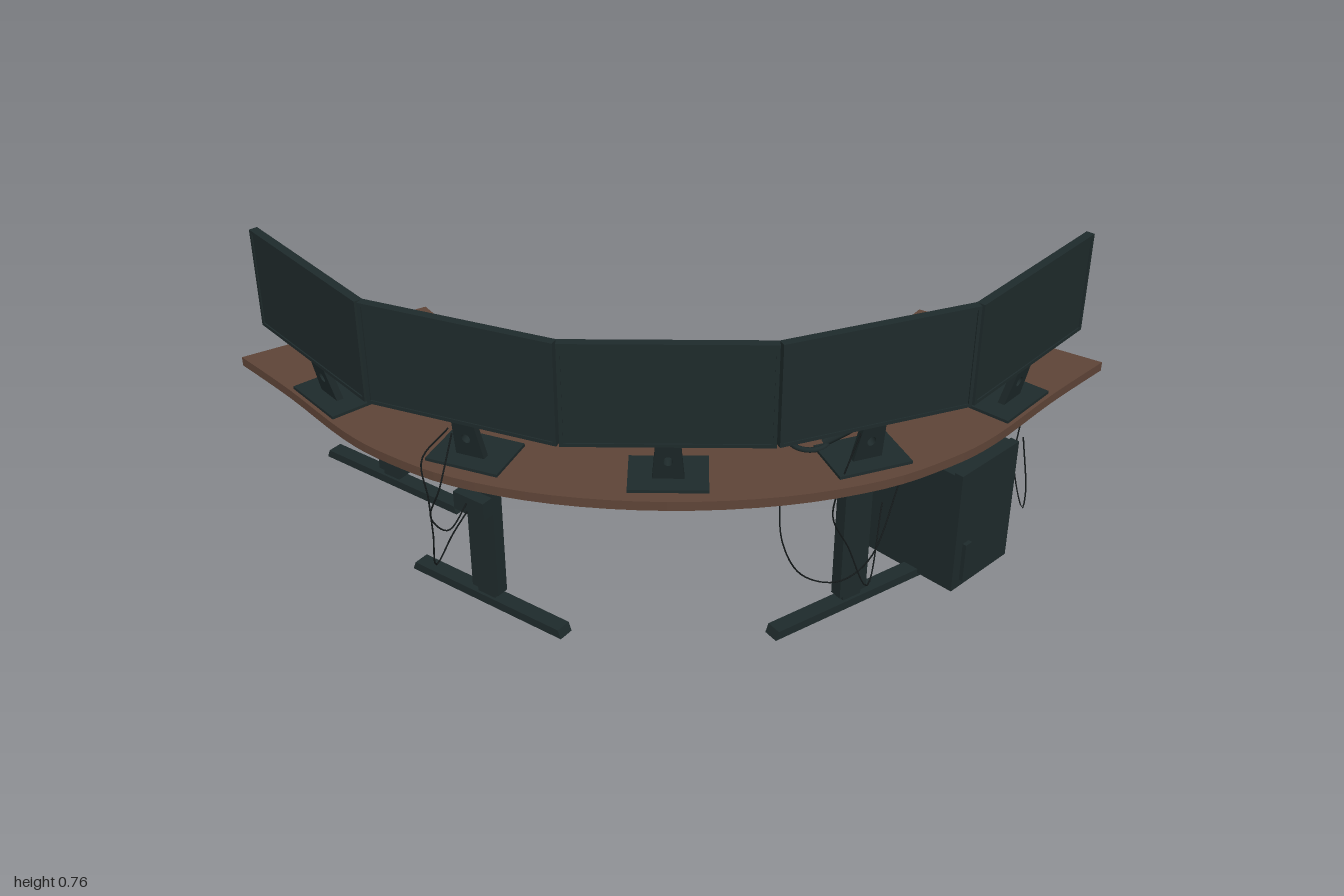
import * as THREE from 'three';

const mat = (name, color) => {
  const m = new THREE.MeshStandardMaterial({ color });
  m.name = name;
  return m;
};

export function createModel() {
  const root = new THREE.Group();
  root.name = 'curvedWorkstation';
  const wood = mat('walnut brown', 0x5e4437);
  const dark = mat('charcoal', 0x1e2a2b);
  const black = mat('cable black', 0x14191a);

  const add = (parent, name, geo, material, x = 0, y = 0, z = 0, ry = 0) => {
    const m = new THREE.Mesh(geo, material);
    m.name = name;
    m.position.set(x, y, z);
    m.rotation.y = ry;
    parent.add(m);
    return m;
  };
  const box = (parent, name, w, h, d, x, y, z, ry = 0, material = dark) =>
    add(parent, name, new THREE.BoxGeometry(w, h, d), material, x, y, z, ry);
  const group = (name, x = 0, y = 0, z = 0, ry = 0) => {
    const g = new THREE.Group();
    g.name = name;
    g.position.set(x, y, z);
    g.rotation.y = ry;
    root.add(g);
    return g;
  };

  // Curved desk top: half outlines mirrored, drawn in the x/z plane
  const mirrored = (half) => {
    const pts = half.map(([x, z]) => new THREE.Vector2(x, z));
    const other = half.filter(([x]) => x !== 0).map(([x, z]) => new THREE.Vector2(-x, z)).reverse();
    return new THREE.SplineCurve([...pts, ...other]).getPoints(48);
  };
  const outer = mirrored([[-1, -0.165], [-0.86, -0.02], [-0.71, 0.15], [-0.6, 0.242], [-0.45, 0.328], [-0.24, 0.39], [0, 0.412]]);
  const inner = mirrored([[-0.605, -0.417], [-0.5, -0.27], [-0.4, -0.135], [-0.3, -0.06], [-0.18, -0.02], [0, -0.015]]);
  const deskGeo = new THREE.ExtrudeGeometry(new THREE.Shape([...outer, ...inner.reverse()]), { depth: 0.022, bevelEnabled: false });
  deskGeo.rotateX(Math.PI / 2);
  add(root, 'deskTop', deskGeo, wood, 0, 0.415, 0);
  box(root, 'deskRail', 0.34, 0.009, 0.014, 0.01, 0.3885, -0.002);

  // Monitors follow a five sided arc
  const stops = [[-0.925, -0.14], [-0.635, 0.195], [-0.222, 0.36], [0.222, 0.36], [0.635, 0.195], [0.925, -0.14]];
  const neckShape = new THREE.Shape([
    new THREE.Vector2(-0.034, 0), new THREE.Vector2(0.034, 0),
    new THREE.Vector2(0.025, 0.12), new THREE.Vector2(-0.025, 0.12),
  ]);
  const cableHole = new THREE.Path();
  cableHole.absellipse(0, 0.06, 0.01, 0.013, 0, Math.PI * 2, true);
  neckShape.holes.push(cableHole);
  const neckGeo = new THREE.ExtrudeGeometry(neckShape, { depth: 0.016, bevelEnabled: false, curveSegments: 16 });
  for (let i = 0; i < 5; i++) {
    const [ax, az] = stops[i];
    const [bx, bz] = stops[i + 1];
    const w = Math.hypot(bx - ax, bz - az) - 0.003;
    const g = group('monitor' + (i + 1), (ax + bx) / 2, 0, (az + bz) / 2, Math.atan2(az - bz, bx - ax));
    box(g, 'screenPanel', w - 0.012, 0.228, 0.014, 0, 0.64, 0);
    for (const s of [-1, 1]) {
      box(g, 'bezelSide', 0.008, 0.24, 0.02, s * (w / 2 - 0.004), 0.64, 0);
      box(g, 'bezelEdge', w - 0.016, 0.008, 0.02, 0, 0.64 + s * 0.116, 0);
    }
    box(g, 'standBase', 0.17, 0.007, 0.13, 0, 0.4185, -0.045);
    const neck = add(g, 'standNeck', neckGeo, dark, 0, 0.418, -0.04);
    neck.rotation.x = 0.24;
  }

  // T-shaped legs, mirrored left and right
  for (const s of [-1, 1]) {
    for (const [x, z] of [[0.69, -0.265], [0.405, 0.205]]) {
      const g = group('leg', s * x, 0, z, s * 0.615);
      const foot = new THREE.Shape([
        new THREE.Vector2(-0.22, 0), new THREE.Vector2(0.22, 0),
        new THREE.Vector2(0.212, 0.021), new THREE.Vector2(-0.212, 0.021),
      ]);
      const footGeo = new THREE.ExtrudeGeometry(foot, { depth: 0.038, bevelEnabled: false });
      footGeo.translate(0, 0, -0.019);
      add(g, 'foot', footGeo, dark);
      box(g, 'footPlate', 0.05, 0.014, 0.024, 0, 0.027, 0);
      box(g, 'lowerPost', 0.076, 0.3, 0.03, 0, 0.184, 0);
      box(g, 'upperPost', 0.066, 0.06, 0.024, 0, 0.363, 0);
    }
  }
  box(root, 'controlBox', 0.085, 0.045, 0.03, -0.425, 0.285, 0.235, -0.615);

  // Computer tower under the left side, turned 45 degrees
  const tower = group('computerTower', 0.612, 0, 0.006, Math.PI / 4);
  box(tower, 'towerCase', 0.205, 0.308, 0.26, 0, 0.164, -0.008);
  box(tower, 'towerFront', 0.205, 0.314, 0.022, 0, 0.167, 0.132);
  box(tower, 'frontHandle', 0.022, 0.1, 0.01, -0.065, 0.08, 0.148);
  for (const sx of [-1, 1]) for (const sz of [-1, 1])
    box(tower, 'towerFoot', 0.03, 0.012, 0.03, sx * 0.075, 0.006, sz * 0.1);

  // Keyboard with rows of keys
  const keyboard = group('keyboard', 0.02, 0.415, 0.098);
  box(keyboard, 'keyboardBody', 0.37, 0.008, 0.116, 0, 0.004, 0);
  for (let r = 0; r < 5; r++) {
    const z = -0.042 + r * 0.021;
    box(keyboard, 'numberKeys', 0.06, 0.004, 0.017, -0.14, 0.01, z);
    box(keyboard, 'arrowKeys', 0.05, 0.004, 0.017, -0.077, 0.01, z);
    box(keyboard, 'mainKeys', 0.22, 0.004, 0.017, 0.065, 0.01, z);
  }

  // Mouse
  const mouseGeo = new THREE.SphereGeometry(1, 24, 8, 0, Math.PI * 2, 0, Math.PI / 2);
  mouseGeo.scale(0.032, 0.027, 0.052);
  add(root, 'mouse', mouseGeo, dark, -0.262, 0.415, 0.058, -0.2);

  const tube = (name, pts, r, material) => add(root, name, new THREE.TubeGeometry(
    new THREE.CatmullRomCurve3(pts.map((p) => new THREE.Vector3(...p))), 40, r, 6), material);

  // Headset resting on the desk
  for (const z of [0.085, 0.185]) {
    const cup = add(root, 'headsetCup', new THREE.TorusGeometry(0.042, 0.006, 8, 28), dark, 0.3, 0.423, z);
    cup.rotation.x = Math.PI / 2;
  }
  tube('headsetBand', [[0.325, 0.425, 0.05], [0.37, 0.45, 0.09], [0.42, 0.485, 0.13], [0.435, 0.495, 0.17], [0.4, 0.465, 0.19], [0.33, 0.425, 0.2]], 0.01, dark);
  const pad = box(root, 'headsetPad', 0.09, 0.012, 0.1, 0.385, 0.458, 0.112, 0.55);
  pad.rotation.z = 0.5;

  // Hanging cables
  const cables = [
    [[-0.46, 0.5, 0.27], [-0.51, 0.46, 0.33], [-0.5, 0.38, 0.35], [-0.5, 0.27, 0.33], [-0.505, 0.16, 0.29], [-0.47, 0.22, 0.26], [-0.43, 0.28, 0.24]],
    [[-0.45, 0.5, 0.29], [-0.47, 0.42, 0.37], [-0.5, 0.32, 0.34], [-0.47, 0.26, 0.3], [-0.43, 0.3, 0.23]],
    [[0.23, 0.4, 0.36], [0.24, 0.28, 0.36], [0.29, 0.16, 0.32], [0.38, 0.1, 0.26], [0.45, 0.12, 0.2], [0.52, 0.25, 0.08]],
    [[0.4, 0.5, 0.28], [0.36, 0.4, 0.32], [0.35, 0.3, 0.3], [0.39, 0.2, 0.27], [0.44, 0.08, 0.25], [0.48, 0.2, 0.1]],
    [[0.79, 0.4, -0.15], [0.82, 0.32, -0.13], [0.81, 0.18, -0.1], [0.84, 0.06, -0.08], [0.845, 0.1, -0.09], [0.825, 0.25, -0.1]],
  ];
  cables.forEach((pts) => tube('cable', pts, 0.0018, black));

  return root;
}
